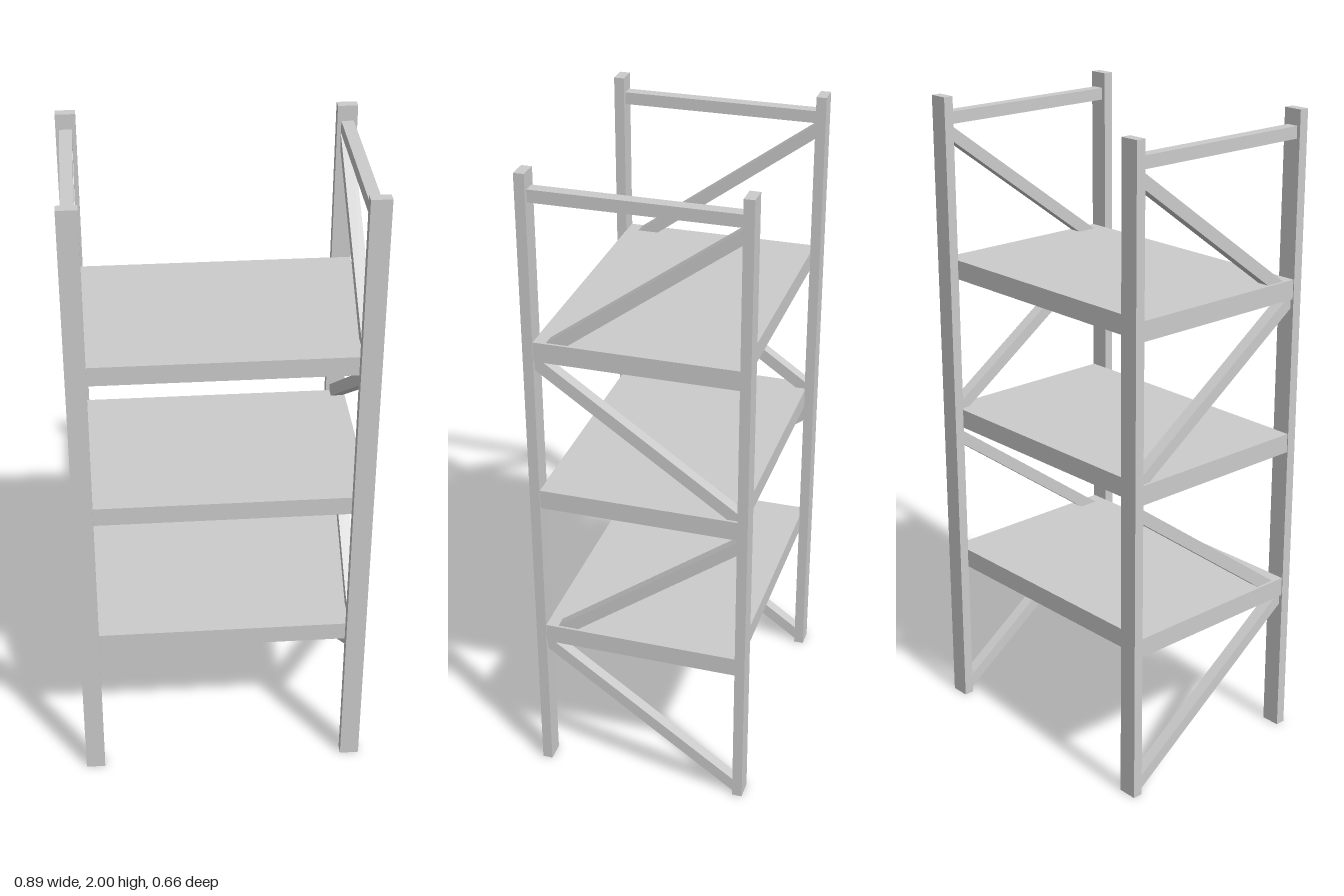
import * as THREE from 'three';

export function createModel() {
  const model = new THREE.Group();
  const material = new THREE.MeshStandardMaterial({ color: 0xcccccc, flatShading: true });

  const add = (name, geometry, x, y, z) => {
    const mesh = new THREE.Mesh(geometry, material);
    mesh.name = name;
    mesh.position.set(x, y, z);
    model.add(mesh);
  };

  const inner = 0.302; // half the gap between front and back posts
  const braceX = 0.4165; // centre line of the side frames
  const braceWidth = 0.037;

  // Shelves
  const shelf = new THREE.BoxGeometry(0.886, 0.06, inner * 2);
  [0.497, 0.983, 1.47].forEach((y) => add('shelf', shelf, 0, y, 0));

  // Diagonal braces as [z, y] outlines, trimmed against posts and shelves
  const braceOutlines = [
    [[-inner, 0.005], [inner, 0.435], [inner, 0.467], [0.285, 0.467], [-inner, 0.05]],
    [[0.2, 0.527], [0.264, 0.527], [-inner, 0.942], [-inner, 0.897]],
    [[-inner, 1.013], [-0.268, 1.013], [inner, 1.41], [inner, 1.44], [0.28, 1.44], [-inner, 1.035]],
    [[0.2, 1.5], [0.264, 1.5], [-inner, 1.913], [-inner, 1.868]],
  ];
  const braces = braceOutlines.map((points) => {
    const shape = new THREE.Shape(points.map(([z, y]) => new THREE.Vector2(z, y)));
    const geometry = new THREE.ExtrudeGeometry(shape, { depth: braceWidth, bevelEnabled: false });
    return geometry.translate(0, 0, -braceWidth / 2).rotateY(-Math.PI / 2);
  });

  // Posts, top rails and braces of both side frames
  const post = new THREE.BoxGeometry(0.06, 2, 0.031);
  const rail = new THREE.BoxGeometry(braceWidth, 0.037, inner * 2);
  for (const side of [-1, 1]) {
    add('frontPost', post, side * 0.416, 1, 0.3165);
    add('backPost', post, side * 0.416, 1, -0.3165);
    add('topRail', rail, side * braceX, 1.934, 0);
    braces.forEach((brace) => add('diagonalBrace', brace, side * braceX, 0, 0));
  }

  return model;
}
